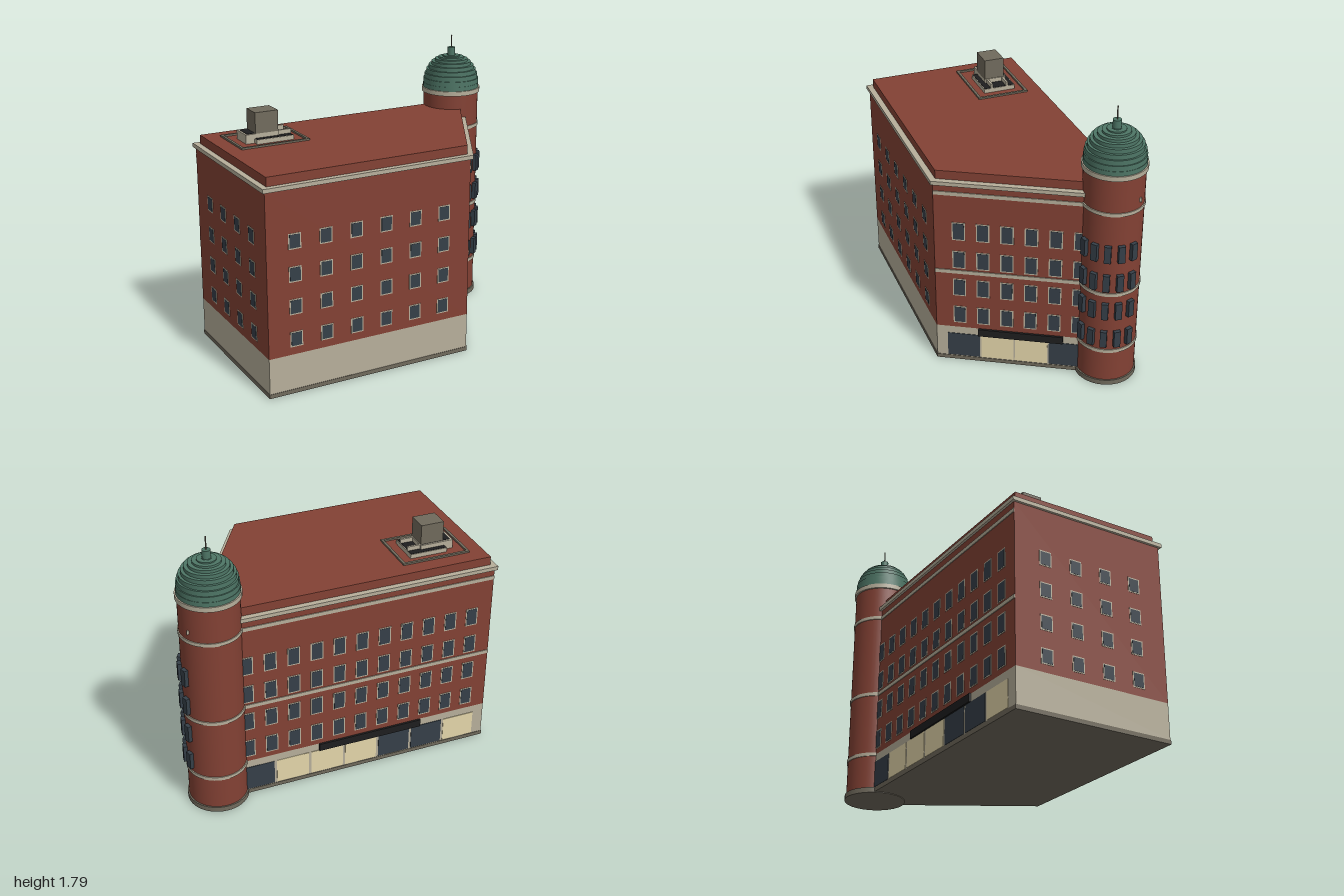
import * as THREE from 'three';
import { toCreasedNormals } from 'three/addons/utils/BufferGeometryUtils.js';

const mat = (name, color) => Object.assign(new THREE.MeshStandardMaterial({ color }), { name });

export function createModel() {
  const brick = mat('brick', 0x834134), stone = mat('stone', 0xb7af9b), plinthGrey = mat('plinth grey', 0x706a5c);
  const glass = mat('dark glass', 0x353f48), cream = mat('lit shopfront', 0xe4d6aa);
  const copper = mat('green copper', 0x4e7666), black = mat('black', 0x1e1e1f);

  const model = new THREE.Group();
  model.name = 'cornerBuilding';

  const add = (parent, name, geometry, material) => {
    const mesh = new THREE.Mesh(geometry, material);
    mesh.name = name;
    parent.add(mesh);
    return mesh;
  };
  // Box from its minimum and maximum corners
  const box = (parent, name, material, x0, x1, y0, y1, z0, z1) => {
    const mesh = add(parent, name, new THREE.BoxGeometry(x1 - x0, y1 - y0, z1 - z0), material);
    mesh.position.set((x0 + x1) / 2, (y0 + y1) / 2, (z0 + z1) / 2);
    return mesh;
  };

  // Building footprint (x, -z), counter-clockwise
  const footprint = [[-0.985, -0.557], [0.35, -0.557], [0.935, 0.462], [-0.985, 0.462]]
    .map(([x, y]) => new THREE.Vector2(x, y));
  // Footprint with every wall moved outward by d
  const grown = (d) => footprint.map((p, i) => {
    const a = p.clone().sub(footprint[(i + 3) % 4]).normalize();
    const b = footprint[(i + 1) % 4].clone().sub(p).normalize();
    const n1 = new THREE.Vector2(a.y, -a.x), n2 = new THREE.Vector2(b.y, -b.x);
    return p.clone().addScaledVector(n1.clone().add(n2), d / (1 + n1.dot(n2)));
  });
  const storey = (name, material, d, y0, y1) => {
    const g = new THREE.ExtrudeGeometry(new THREE.Shape(grown(d)), { depth: y1 - y0, bevelEnabled: false });
    g.rotateX(-Math.PI / 2).translate(0, y0, 0);
    add(model, name, g, material);
  };
  storey('plinth', plinthGrey, 0.003, 0.004, 0.03);
  storey('stoneGroundFloor', stone, 0, 0.03, 0.25);
  storey('brickWalls', brick, 0, 0.25, 1.25);
  storey('cornice', stone, 0.015, 1.25, 1.275);
  storey('parapetAndRoof', brick, -0.021, 1.275, 1.33);

  // Walls: local x runs along the wall, local z points outward
  const wall = (name, x, z, angle) => {
    const g = new THREE.Group();
    g.name = name;
    g.position.set(x, 0, z);
    g.rotation.y = angle;
    model.add(g);
    return g;
  };
  const rows = [0.345, 0.545, 0.743, 0.941];
  const windows = (parent, start, step, count, w, h) => {
    for (const y of rows) for (let i = 0; i < count; i++) {
      const x = start + i * step, f = 0.007;
      box(parent, 'windowFrame', stone, x - w / 2, x + w / 2, y - h / 2, y + h / 2, -0.004, 0.002);
      box(parent, 'windowPane', glass, x - w / 2 + f, x + w / 2 - f, y - h / 2 + f, y + h / 2 - f, -0.003, 0.003);
    }
  };
  const shops = (parent, start, pitch, width, bays) => bays.forEach((m, i) => {
    const x = start + i * pitch;
    box(parent, 'shopWindow', m, x, x + width, 0.035, 0.2, -0.004, 0.003);
  });
  const bands = (parent, x0, x1) => [0.657, 1.195].forEach((y) =>
    box(parent, 'stoneBand', stone, x0, x1, y - 0.012, y + 0.012, -0.005, 0.005));

  const front = wall('frontWall', 0, 0.557, 0);
  windows(front, -0.81, 0.196, 6, 0.08, 0.095);

  const left = wall('sideWall', -0.985, 0.0475, -Math.PI / 2);
  windows(left, -0.3075, 0.205, 4, 0.08, 0.095);

  const diagonal = wall('entranceWall', 0.35, 0.557, Math.atan2(1.019, 0.585));
  windows(diagonal, 0.147, 0.144, 6, 0.08, 0.122);
  shops(diagonal, 0.068, 0.209, 0.2, [glass, cream, cream, glass]);
  bands(diagonal, 0, 0.95);
  box(diagonal, 'awning', black, 0.26, 0.78, 0.2, 0.25, 0, 0.013);

  const back = wall('backWall', 0, -0.462, Math.PI);
  windows(back, -0.615, 0.1465, 11, 0.08, 0.122);
  shops(back, -0.668, 0.228, 0.212, [glass, cream, cream, cream, glass, glass, cream]);
  bands(back, -0.75, 0.985);
  box(back, 'awning', black, -0.16, 0.53, 0.2, 0.25, 0, 0.013);

  // Round corner tower
  const tower = new THREE.Group();
  tower.name = 'cornerTower';
  tower.position.set(0.796, 0, -0.38);
  model.add(tower);
  const drum = (name, material, r, y0, y1, sides = 48) => {
    const mesh = add(tower, name, new THREE.CylinderGeometry(r, r, y1 - y0, sides), material);
    mesh.position.y = (y0 + y1) / 2;
  };
  drum('towerPlinth', plinthGrey, 0.189, 0, 0.033);
  drum('towerShaft', brick, 0.18, 0.03, 1.425);
  for (const y of [0.25, 0.657, 1.2]) drum('towerBand', stone, 0.186, y - 0.011, y + 0.011);
  drum('towerCornice', stone, 0.191, 1.42, 1.45);

  // Tower windows, fanned around the entrance direction
  for (const y of rows) for (let k = -2; k <= 2; k++) {
    const holder = new THREE.Group();
    holder.name = 'towerWindow';
    holder.rotation.y = THREE.MathUtils.degToRad(-(31 + 24 * k));
    box(holder, 'towerWindowPane', glass, 0.165, 0.203, y - 0.055, y + 0.055, -0.02, 0.02);
    tower.add(holder);
  }

  // Stepped dome and finial
  const steps = 10, profile = [];
  for (let i = 0; i < steps; i++) {
    const a = (i / steps) * Math.PI / 2, b = ((i + 1) / steps) * Math.PI / 2, r = 0.183 * Math.cos(a);
    profile.push(new THREE.Vector2(r, 1.445 + 0.215 * Math.sin(a)), new THREE.Vector2(r, 1.445 + 0.215 * Math.sin(b)));
  }
  profile.push(new THREE.Vector2(0, 1.66));
  add(tower, 'steppedDome', toCreasedNormals(new THREE.LatheGeometry(profile, 48), 0.6), copper);
  drum('finialBase', copper, 0.025, 1.655, 1.71, 16);
  drum('finialRod', plinthGrey, 0.004, 1.7, 1.79, 8);

  // Rooftop curb
  const roof = new THREE.Group();
  roof.name = 'roofEquipment';
  model.add(roof);
  for (const z of [-0.345, -0.029]) box(roof, 'curb', plinthGrey, -0.87, -0.428, 1.325, 1.341, z, z + 0.016);
  for (const x of [-0.87, -0.444]) box(roof, 'curb', plinthGrey, x, x + 0.016, 1.325, 1.341, -0.329, -0.029);

  // Stepped machine housing with dark tops
  const housing = (x0, x1, z0, z1, top, rim) => {
    box(roof, 'housing', stone, x0, x1, 1.325, top, z0, z1);
    box(roof, 'housingTop', black, x0 + rim, x1 - rim, top - 0.004, top + 0.002, z0 + rim, z1 - rim);
  };
  housing(-0.745, -0.503, -0.285, -0.077, 1.357, 0.005);
  housing(-0.8, -0.585, -0.252, -0.112, 1.386, 0.012);
  for (const z of [-0.238, -0.135]) box(roof, 'housingRail', stone, -0.59, -0.503, 1.35, 1.386, z, z + 0.013);
  box(roof, 'machineBox', plinthGrey, -0.738, -0.59, 1.38, 1.515, -0.24, -0.112);

  return model;
}
